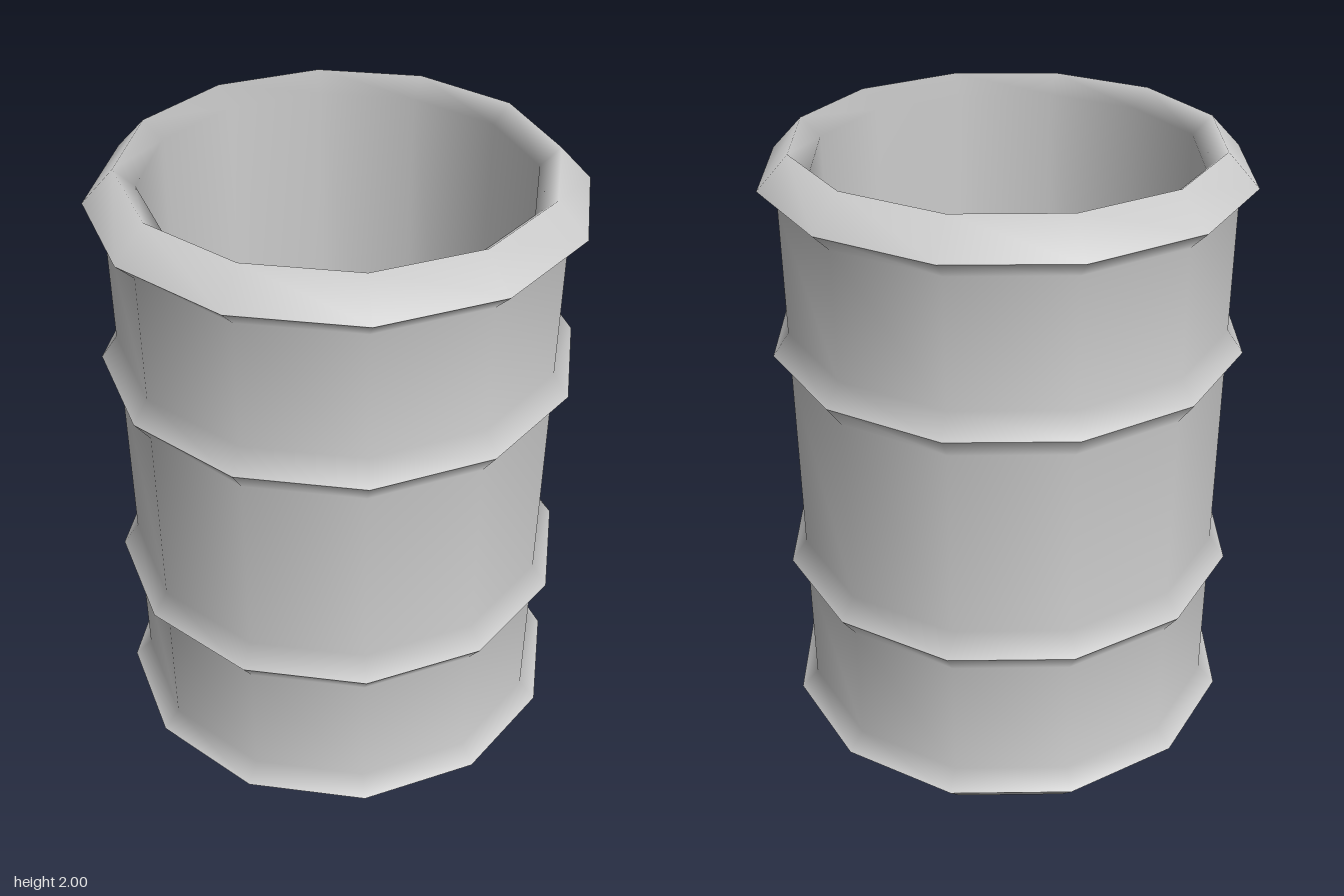
import * as THREE from 'three';

const SIDES = 12;
const BODY = 0.68;   // outer wall radius
const INNER = 0.58;  // inner wall radius
const RIM_Y = 0.1;   // height of the rim's widest edge above each end

const material = new THREE.MeshStandardMaterial({ color: 0xcccccc });

// One smooth-shaded band; bands meet in hard edges at the hoop peaks.
function band(name, points) {
  const profile = points.map(([r, y]) => new THREE.Vector2(r, y));
  const mesh = new THREE.Mesh(new THREE.LatheGeometry(profile, SIDES), material);
  mesh.name = name;
  return mesh;
}

export function createModel() {
  const barrel = new THREE.Group();
  barrel.name = 'barrel';

  // Peaks from bottom to top: [radius, height, half height of the bevel]
  const peaks = [
    [0.735, RIM_Y, 0.055],
    [0.73, 0.63, 0.07],
    [0.73, 1.38, 0.07],
    [0.735, 2 - RIM_Y, 0.055],
  ];

  // Wall sections between neighbouring peaks
  ['lowerWall', 'middleWall', 'upperWall'].forEach((name, i) => {
    const [r0, y0, h0] = peaks[i];
    const [r1, y1, h1] = peaks[i + 1];
    barrel.add(band(name, [[r0, y0], [BODY, y0 + h0], [BODY, y1 - h1], [r1, y1]]));
  });

  // Bottom rim, up to the widest edge
  barrel.add(band('bottomRim', [[INNER, 0.055], [0.64, 0], [0.735, RIM_Y]]));

  // Top rim rolling over into the inner wall
  barrel.add(band('topRimAndInnerWall', [
    [0.735, 2 - RIM_Y], [0.64, 2], [INNER, 1.945], [INNER, 0.055],
  ]));

  // Floor, seen from inside and from below
  const floorMaterial = material.clone();
  floorMaterial.side = THREE.DoubleSide;
  const disc = new THREE.CircleGeometry(INNER, SIDES).rotateX(-Math.PI / 2);
  const floor = new THREE.Mesh(disc, floorMaterial);
  floor.name = 'floor';
  floor.position.y = 0.055;
  barrel.add(floor);

  return barrel;
}
